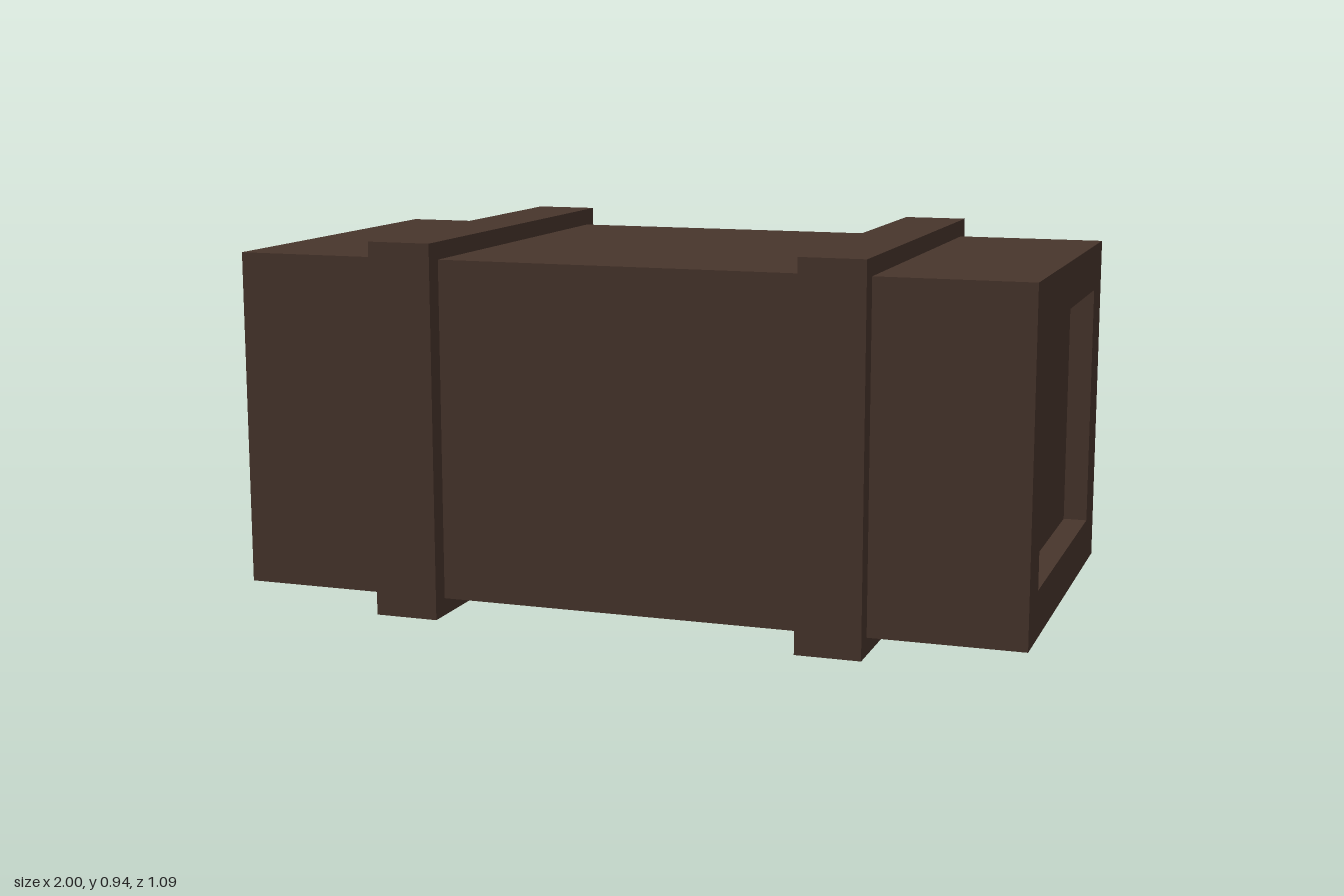
import * as THREE from 'three';

const MID_Y = 0.4675;

// Rectangular outline centred on the origin
function rect(PathType, w, h) {
  const x = w / 2, y = h / 2;
  return new PathType([
    new THREE.Vector2(-x, -y), new THREE.Vector2(x, -y),
    new THREE.Vector2(x, y), new THREE.Vector2(-x, y),
  ]);
}

// Rectangular sleeve running along x, centred on the origin
function sleeve(outer, inner, length) {
  const shape = rect(THREE.Shape, ...outer);
  shape.holes.push(rect(THREE.Path, ...inner));
  return new THREE.ExtrudeGeometry(shape, { depth: length, bevelEnabled: false })
    .translate(0, 0, -length / 2)
    .rotateY(Math.PI / 2);
}

export function createModel() {
  const crate = new THREE.Group();
  crate.name = 'crate';
  const wood = new THREE.MeshStandardMaterial({ color: 0x48352c });
  wood.name = 'dark wood';

  const add = (name, geometry, x = 0) => {
    const mesh = new THREE.Mesh(geometry, wood);
    mesh.name = name;
    mesh.position.set(x, MID_Y, 0);
    crate.add(mesh);
  };

  const body = [0.988, 0.848];   // depth, height
  const opening = [0.756, 0.614];

  // Outer walls, with a core that stops short to leave recessed ends
  add('body', sleeve(body, opening, 2));
  add('recessedEnds', new THREE.BoxGeometry(1.88, opening[1], opening[0]));

  // Raised bands around the body
  const band = sleeve([1.088, 0.935], body, 0.162);
  add('leftBand', band, 0.541);
  add('rightBand', band, -0.541);

  return crate;
}
